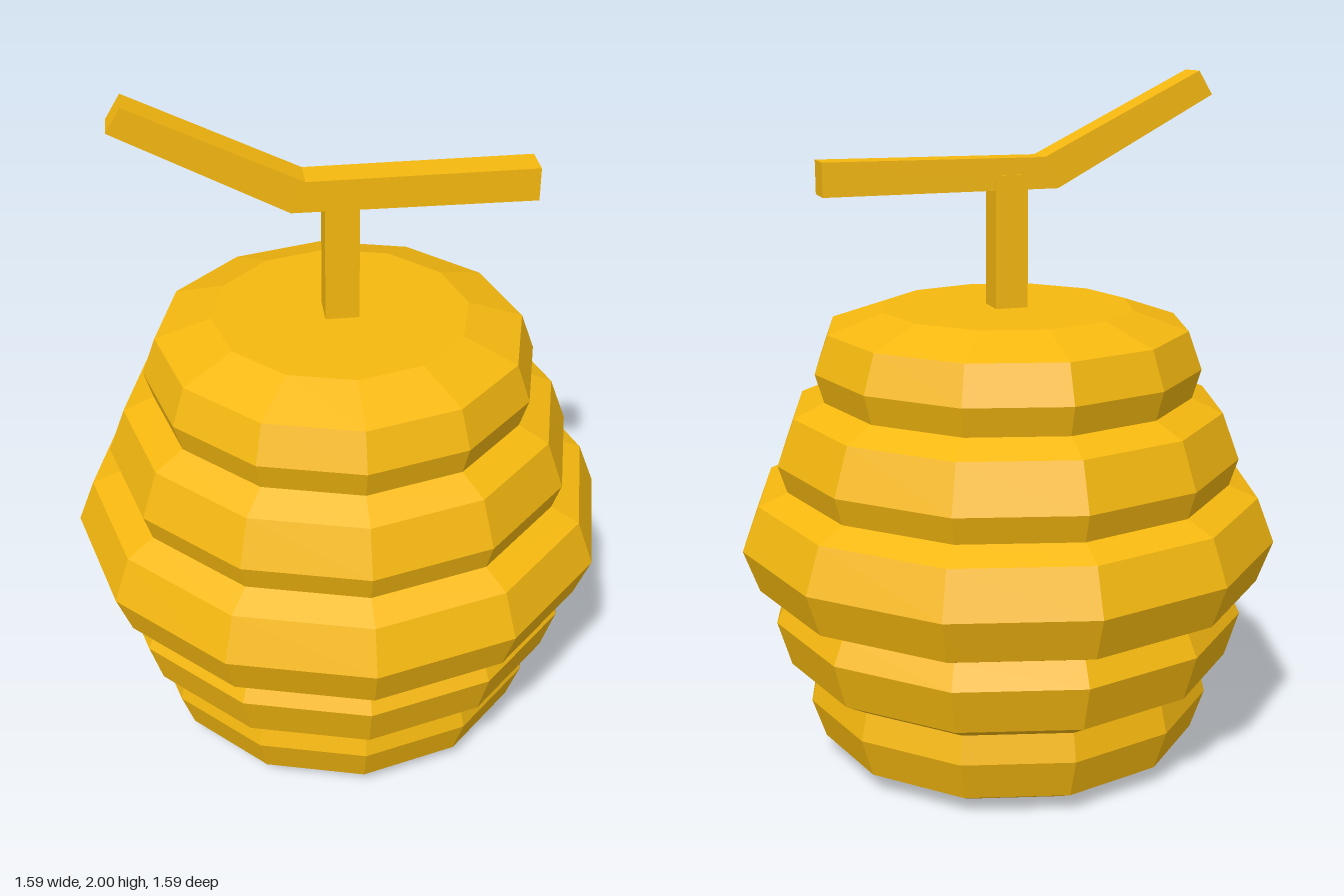
import * as THREE from 'three';

export function createModel() {
  const model = new THREE.Group();
  model.name = 'beehive';
  const material = new THREE.MeshStandardMaterial({ color: 0xf5b80f, flatShading: true });

  const add = (name, geometry) => {
    const mesh = new THREE.Mesh(geometry, material);
    mesh.name = name;
    model.add(mesh);
    return mesh;
  };

  // Twelve-sided hive: five stacked bulging rings, [radius, height] from the bottom up
  const profile = [
    [0, 0], [0.37, 0], [0.49, 0.015],
    [0.57, 0.06], [0.61, 0.18], [0.59, 0.26],
    [0.665, 0.305], [0.705, 0.44], [0.67, 0.51],
    [0.75, 0.545], [0.795, 0.67], [0.745, 0.8],
    [0.66, 0.835], [0.685, 0.915], [0.635, 1.05],
    [0.545, 1.09], [0.57, 1.175], [0.53, 1.285],
    [0.37, 1.34], [0, 1.34],
  ].map(([r, y]) => new THREE.Vector2(r, y));
  add('hiveBody', new THREE.LatheGeometry(profile, 12));

  // Square stem holding the hive
  add('stem', new THREE.BoxGeometry(0.096, 0.41, 0.094)).position.set(0, 1.515, -0.002);

  // Bent branch: level on the left, rising on the right
  const outline = new THREE.Shape([
    [0.54, 1.675], [0.54, 1.77], [-0.1, 1.767],
    [-0.57, 2], [-0.612, 1.932], [-0.14, 1.678],
  ].map(([x, y]) => new THREE.Vector2(x, y)));
  const branch = new THREE.ExtrudeGeometry(outline, { depth: 0.095, bevelEnabled: false });
  add('branch', branch).position.z = -0.045;

  return model;
}
